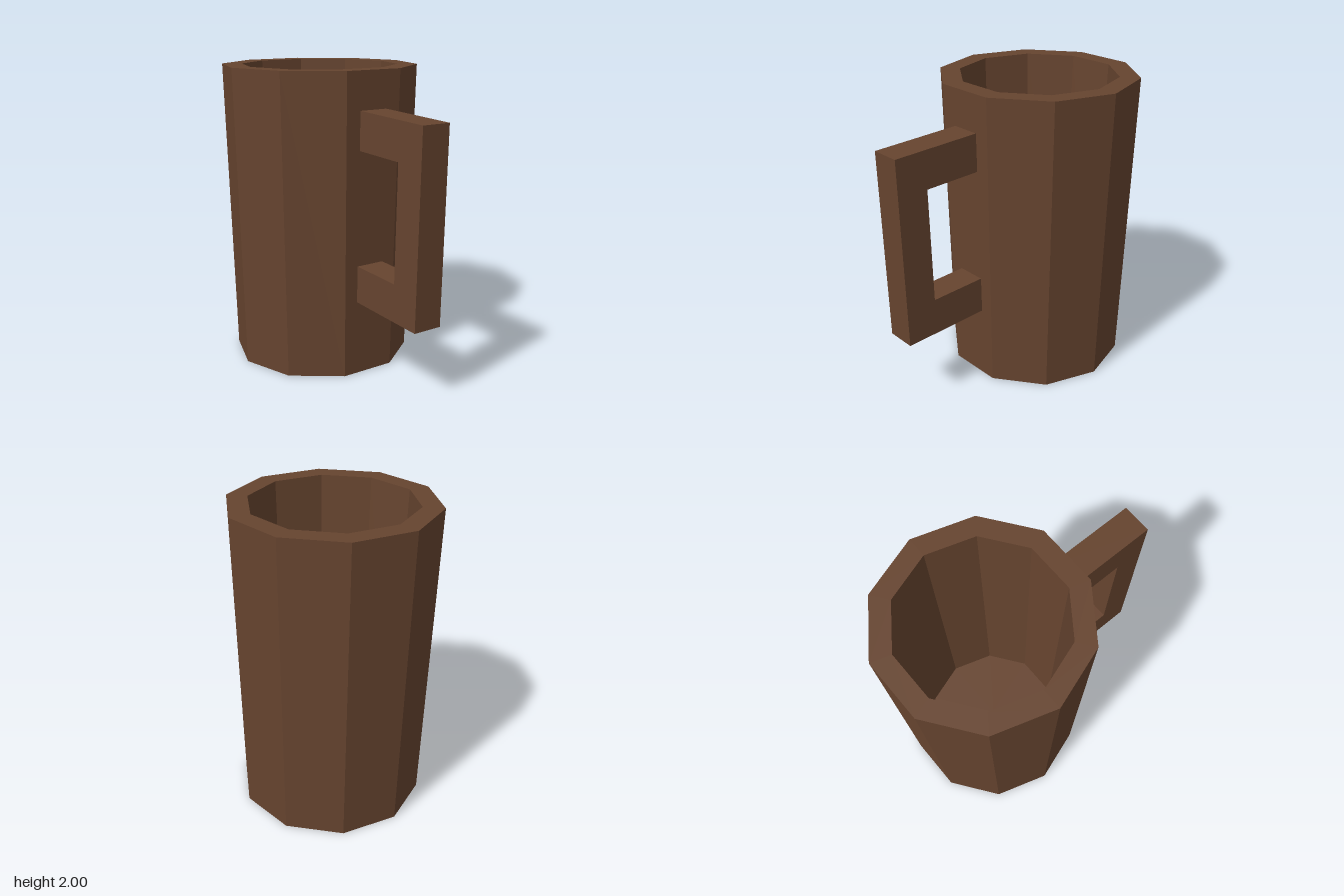
import * as THREE from 'three';

export function createModel() {
  const wood = new THREE.MeshStandardMaterial({ color: 0x66442f, flatShading: true });
  wood.name = 'brown wood';

  const mug = new THREE.Group();
  mug.name = 'mug';

  // Ten-sided hollow cup: base, outer wall, rim, inner wall, floor
  const profile = [
    [0, 0], [0.603, 0], [0.652, 2], [0.52, 2], [0.457, 0.15], [0, 0.15],
  ].map(([r, y]) => new THREE.Vector2(r, y));
  const cup = new THREE.Mesh(
    new THREE.LatheGeometry(profile, 10, Math.PI / 10, Math.PI * 2), wood);
  cup.name = 'cup';
  mug.add(cup);

  // Square handle, a C shape whose ends sink into the cup wall
  const outline = [
    [0.56, 0.507], [1.177, 0.49], [1.207, 1.736], [0.56, 1.757],
    [0.56, 1.508], [0.992, 1.496], [0.972, 0.741], [0.56, 0.753],
  ].map(([z, y]) => new THREE.Vector2(z, y));
  const width = 0.196;
  const handleGeometry = new THREE.ExtrudeGeometry(
    new THREE.Shape(outline), { depth: width, bevelEnabled: false });
  handleGeometry.translate(0, 0, -width / 2).rotateY(-Math.PI / 2);
  const handle = new THREE.Mesh(handleGeometry, wood);
  handle.name = 'handle';
  mug.add(handle);

  // Slight turn, with the cup behind the centre to balance the handle
  mug.rotation.y = -0.0192;
  mug.position.z = -0.292;

  const model = new THREE.Group();
  model.name = 'woodenMug';
  model.add(mug);
  return model;
}
